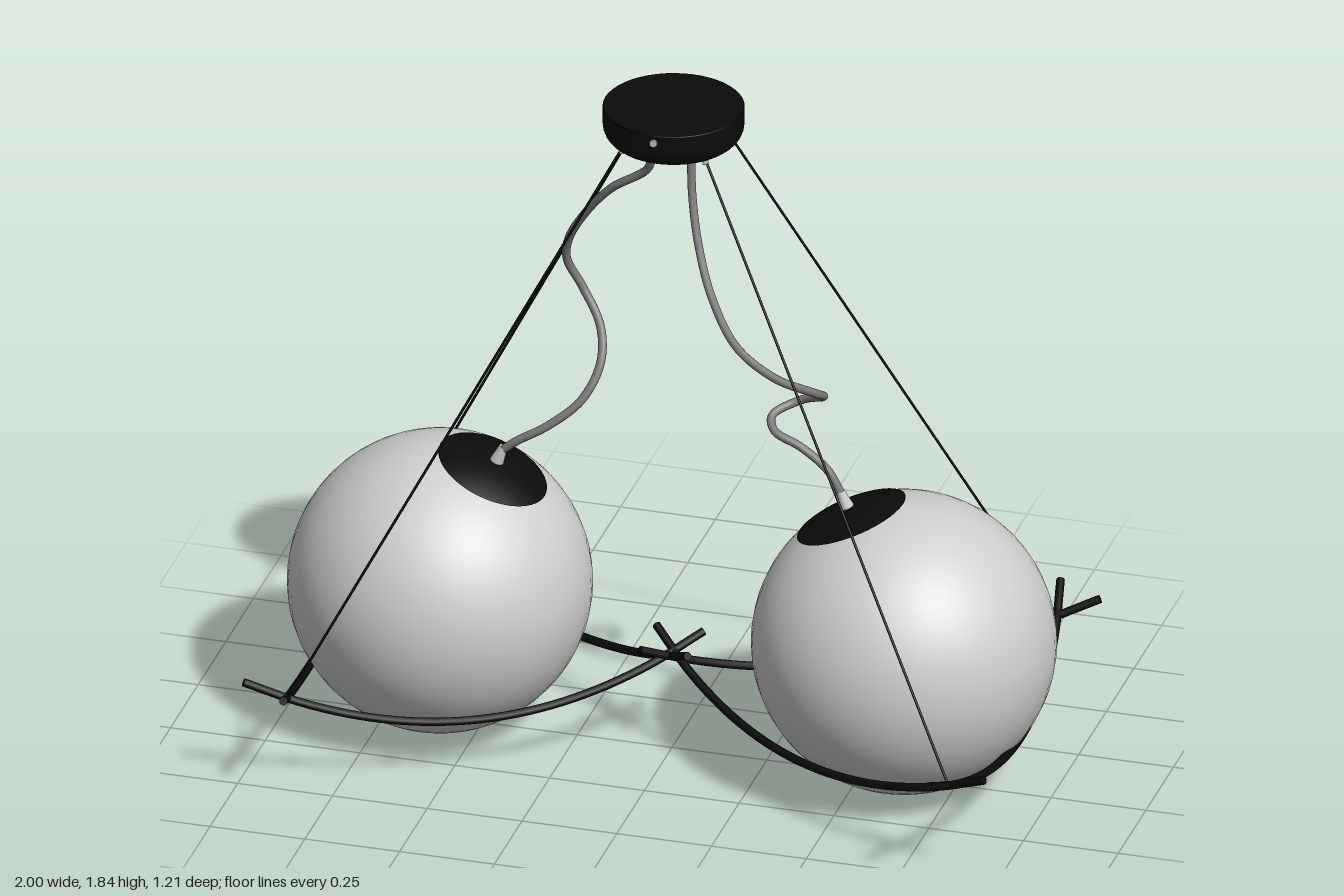
import * as THREE from 'three';

const mat = (name, color) => Object.assign(new THREE.MeshStandardMaterial({ color }), { name });
const V = (p) => new THREE.Vector3(...p);

export function createModel() {
  const model = new THREE.Group();
  model.name = 'doubleGlobePendant';

  const black = mat('blackMetal', 0x0b0b0b);
  const glass = mat('frostedGlass', 0xcecece);
  const grey = mat('cableGrey', 0x7c7c7c);
  const steel = mat('paleFitting', 0xc8c8c8);

  const add = (name, geometry, material, parent = model) => {
    const mesh = new THREE.Mesh(geometry, material);
    mesh.name = name;
    parent.add(mesh);
    return mesh;
  };

  // Tapered rod between two points
  const rod = (name, a, b, rA, rB, material, sides = 12) => {
    const from = V(a), to = V(b), dir = to.clone().sub(from);
    const mesh = add(name, new THREE.CylinderGeometry(rB, rA, dir.length(), sides), material);
    mesh.position.copy(from).add(to).multiplyScalar(0.5);
    mesh.quaternion.setFromUnitVectors(new THREE.Vector3(0, 1, 0), dir.normalize());
    return mesh;
  };

  // Closed tube through points
  const tube = (name, points, radius, material, segments, sides) => {
    const curve = new THREE.CatmullRomCurve3(points.map(V));
    add(name, new THREE.TubeGeometry(curve, segments, radius, sides), material);
    for (const end of [0, 1]) {
      const cap = add(name + 'End', new THREE.CircleGeometry(radius, sides), material);
      cap.position.copy(curve.getPointAt(end));
      const out = curve.getTangentAt(end).multiplyScalar(end ? 1 : -1);
      cap.quaternion.setFromUnitVectors(new THREE.Vector3(0, 0, 1), out);
    }
  };

  // Ceiling canopy with a rounded lower edge
  const cx = 0.01, cz = 0.02;
  const profile = [[0, 1.742], [0.125, 1.742]];
  for (let i = 0; i <= 6; i++) {
    const a = (i / 6) * Math.PI / 2;
    profile.push([0.13 + 0.05 * Math.sin(a), 1.792 - 0.05 * Math.cos(a)]);
  }
  profile.push([0.18, 1.838], [0.18, 1.838], [0.178, 1.84], [0.178, 1.84], [0, 1.84]);
  const canopy = add('canopy', new THREE.LatheGeometry(profile.map(([x, y]) => new THREE.Vector2(x, y)), 48), black);
  canopy.position.set(cx, 0, cz);

  // Set screws on the canopy rim
  for (const s of [-1, 1]) {
    rod('canopyScrew', [cx, 1.82, cz + s * 0.175], [cx, 1.82, cz + s * 0.186], 0.01, 0.01, steel);
  }

  const R = 0.388, gx = 0.612, gy = 0.39, tilt = 0.393;
  for (const s of [-1, 1]) {
    // Glass globe with a dark cap tilted toward the middle
    const globe = add('globe', new THREE.SphereGeometry(R, 48, 32), glass);
    globe.position.set(s * gx, gy, 0);
    const lid = add('globeCap', new THREE.SphereGeometry(R + 0.004, 40, 8, 0, Math.PI * 2, 0, 0.388), black);
    lid.position.copy(globe.position);
    lid.rotation.z = s * tilt;

    // Cable fittings on the globe and canopy
    const along = (d) => [s * (gx - d * Math.sin(tilt)), gy + d * Math.cos(tilt), 0];
    rod('globeFitting', along(R), along(R + 0.05), 0.019, 0.011, steel);
    const topX = s < 0 ? -0.045 : 0.055;
    rod('canopyFitting', [topX, 1.745, 0.015], [topX, 1.715, 0.015], 0.018, 0.018, steel);
    rod('canopyFittingTip', [topX, 1.715, 0.015], [topX, 1.675, 0.015], 0.018, 0.011, steel);

    // Three bowed bars cradle the globe in a triangle
    for (let k = 0; k < 3; k++) {
      const a = k * Math.PI * 2 / 3, points = [];
      for (let i = -4; i <= 4; i++) {
        const u = i / 4, out = 0.332 - 0.07 * u * u, t = 0.6 * u;
        points.push([
          s * (0.588 + out * Math.cos(a) - t * Math.sin(a)),
          0.163 + 0.143 * u * u,
          out * Math.sin(a) + t * Math.cos(a),
        ]);
      }
      tube('cradleBar', points, 0.011, black, 40, 10);
    }

    // Suspension wires with small anchors under the canopy
    for (const f of [-1, 1]) {
      const top = [cx + s * 0.11, 1.745, cz + f * 0.09];
      rod('suspensionWire', top, [s * 0.872, 0.258, f * 0.49], 0.0035, 0.0035, black, 8);
      rod('wireAnchor', [top[0], 1.75, top[2]], [top[0], 1.733, top[2]], 0.008, 0.008, steel);
    }
  }

  // Slack cables
  tube('leftCable', [
    [0.055, 1.69, 0.015], [0.062, 1.6, 0.03], [0.09, 1.48, 0.07], [0.14, 1.36, 0.12],
    [0.21, 1.24, 0.14], [0.3, 1.15, 0.11], [0.38, 1.08, 0.03], [0.385, 1.03, -0.05],
    [0.31, 0.985, -0.1], [0.25, 0.958, -0.05], [0.268, 0.935, -0.01], [0.34, 0.905, 0],
    [0.41, 0.85, 0], [0.447, 0.785, 0],
  ], 0.011, grey, 120, 10);
  tube('rightCable', [
    [-0.045, 1.69, 0.015], [-0.07, 1.63, -0.01], [-0.17, 1.55, -0.04], [-0.25, 1.45, -0.08],
    [-0.31, 1.34, -0.125], [-0.32, 1.27, -0.15], [-0.285, 1.19, -0.168], [-0.23, 1.1, -0.14],
    [-0.215, 1.02, -0.09], [-0.25, 0.935, -0.04], [-0.33, 0.865, -0.01], [-0.41, 0.815, 0],
    [-0.447, 0.785, 0],
  ], 0.011, grey, 120, 10);

  return model;
}
